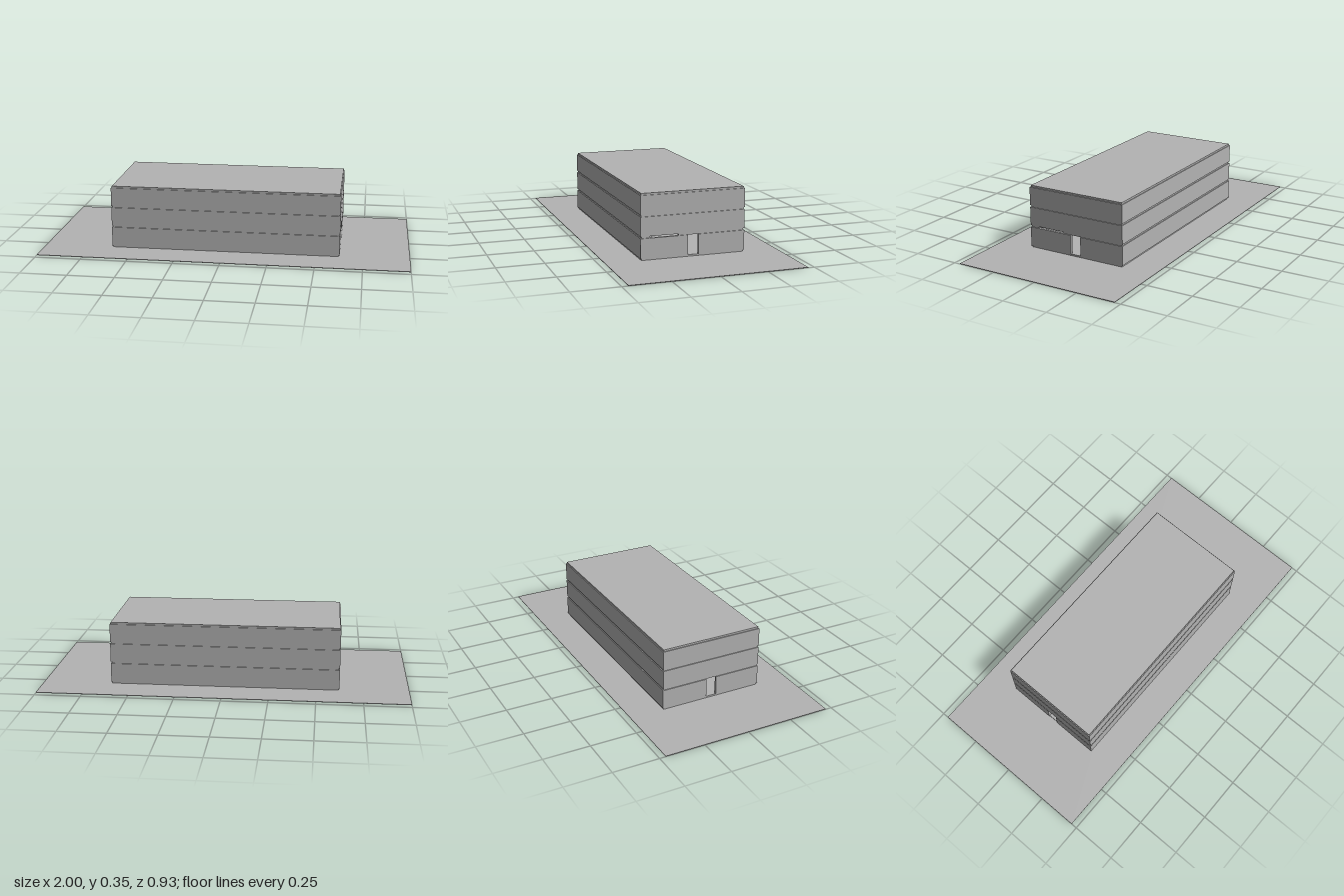
import * as THREE from 'three';

const grey = new THREE.MeshStandardMaterial({ color: 0xb3b3b3 });
grey.name = 'concreteGrey';

const HX = 0.625, HZ = 0.284;     // outer half size of the walls
const INSET = 0.005, WALL = 0.014; // slab recess and wall thickness
const DOOR = 0.029;                // half width of the door openings
const PLATE = 0.003;

// closed plan outline from [x, z] corners
const outline = (pts, Type = THREE.Shape) =>
  new Type(pts.map(([x, z]) => new THREE.Vector2(x, -z)));

const rect = (hx, hz) => [[-hx, hz], [hx, hz], [hx, -hz], [-hx, -hz]];

// raise a plan outline from y0 to y1
function raise(name, shape, y0, y1) {
  const geo = new THREE.ExtrudeGeometry(shape, { depth: y1 - y0, bevelEnabled: false });
  geo.rotateX(-Math.PI / 2);
  geo.translate(0, y0, 0);
  const mesh = new THREE.Mesh(geo, grey);
  mesh.name = name;
  return mesh;
}

export function createModel() {
  const model = new THREE.Group();
  model.name = 'officeBlock';

  // site
  model.add(raise('groundPlate', outline(rect(1, 0.467)), 0, PLATE));

  // recessed floor slabs and roof
  const sx = HX - INSET, sz = HZ - INSET;
  model.add(raise('groundSlab', outline(rect(sx, sz)), PLATE, 0.012));
  // first floor has a notch for the stair at the +x end
  model.add(raise('firstFloorSlab', outline([
    [-sx, sz], [sx, sz], [sx, 0.233], [sx - 0.08, 0.233],
    [sx - 0.08, 0.078], [sx, 0.078], [sx, -sz], [-sx, -sz],
  ]), 0.118, 0.128));
  model.add(raise('secondFloorSlab', outline(rect(sx, sz)), 0.23, 0.24));
  model.add(raise('roofSlab', outline(rect(sx, sz)), 0.341, 0.351));

  // ground storey: two U-shaped walls leave a full-height door at each end
  const ix = HX - WALL, iz = HZ - WALL;
  for (const [name, s] of [['frontGroundWall', 1], ['backGroundWall', -1]]) {
    model.add(raise(name, outline([
      [-HX, s * DOOR], [-HX, s * HZ], [HX, s * HZ], [HX, s * DOOR],
      [ix, s * DOOR], [ix, s * iz], [-ix, s * iz], [-ix, s * DOOR],
    ]), 0.012, 0.118));
  }

  // upper storeys: closed rings of wall
  for (const [name, y0, y1] of [['firstStoreyWall', 0.128, 0.23], ['secondStoreyWall', 0.24, 0.341]]) {
    const ring = outline(rect(HX, HZ));
    ring.holes.push(outline(rect(ix, iz), THREE.Path));
    model.add(raise(name, ring, y0, y1));
  }

  // stair rising towards the front, drawn as a stepped side profile
  const steps = 10, z0 = 0.078, run = 0.155 / steps, y0 = 0.012, rise = 0.116 / steps;
  const side = [[z0, y0]];
  for (let i = 0; i < steps; i++) {
    side.push([z0 + i * run, y0 + (i + 1) * rise], [z0 + (i + 1) * run, y0 + (i + 1) * rise]);
  }
  side.push([z0 + steps * run, y0 + (steps - 1) * rise], [z0 + run, y0]);
  const stairGeo = new THREE.ExtrudeGeometry(
    new THREE.Shape(side.map(([z, y]) => new THREE.Vector2(-z, y))),
    { depth: 0.06, bevelEnabled: false });
  stairGeo.rotateY(Math.PI / 2);
  stairGeo.translate(ix - 0.064, 0, 0);
  const stair = new THREE.Mesh(stairGeo, grey);
  stair.name = 'stair';
  model.add(stair);

  return model;
}
